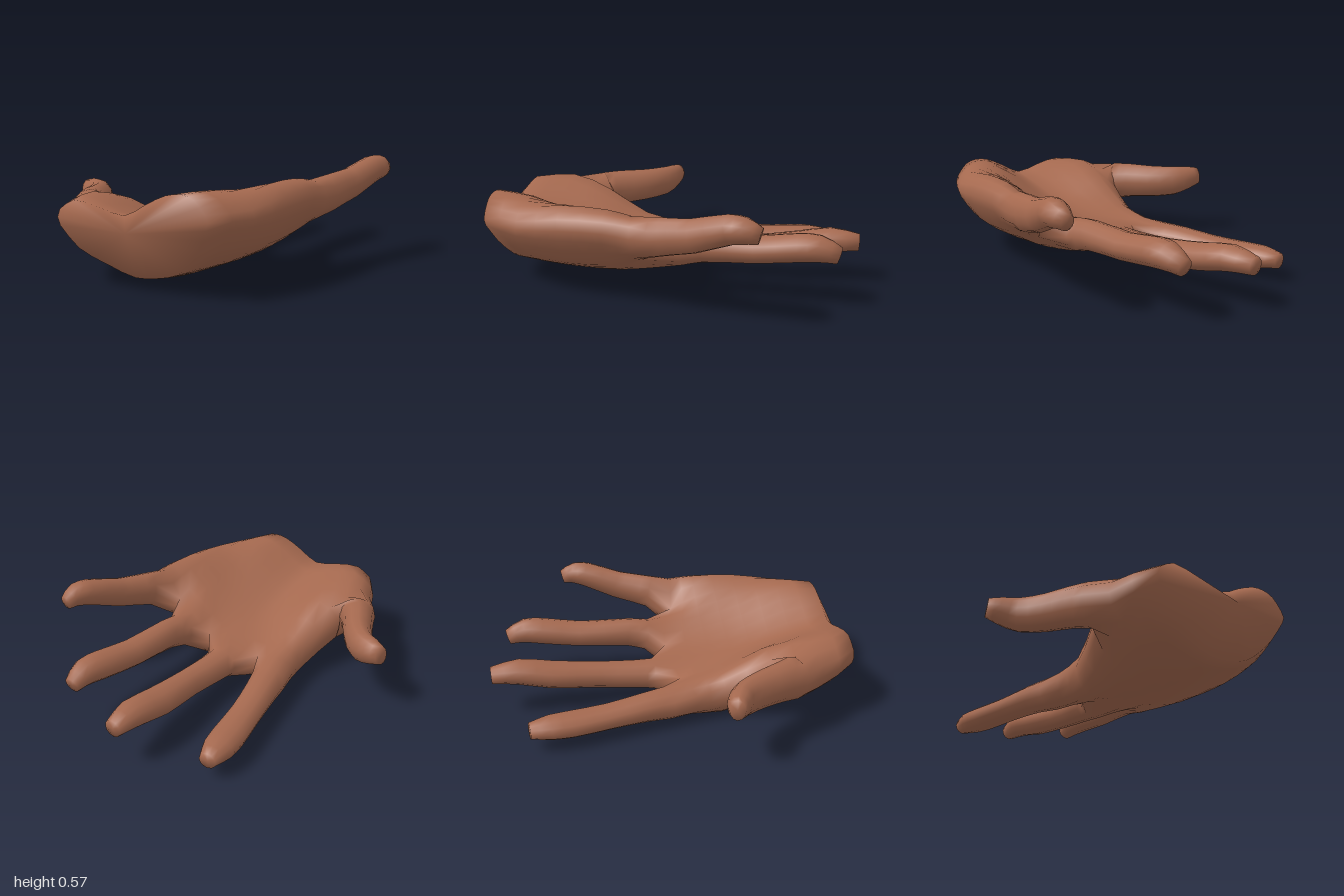
import * as THREE from 'three';
import { mergeVertices } from 'three/addons/utils/BufferGeometryUtils.js';

const V = (x, y, z) => new THREE.Vector3(x, y, z);

// Palm cross-sections from wrist to knuckles: nine columns [x, top, bottom] run
// edge, index, gap, middle, gap, ring, gap, little, edge
const sections = [
  { z: .94, under: .85, cols: [[-.335, .38, .3], [-.25, .43, .19], [-.1, .41, .12], [.05, .38, .07], [.17, .44, .08], [.28, .49, .11], [.36, .5, .17], [.43, .48, .25], [.485, .42, .35]] },
  { z: .72, under: .67, cols: [[-.45, .36, .24], [-.31, .44, .12], [-.13, .39, .06], [.05, .33, .03], [.2, .4, .06], [.33, .48, .11], [.43, .5, .16], [.53, .48, .24], [.595, .42, .34]] },
  { z: .48, under: .48, cols: [[-.37, .31, .18], [-.25, .38, .08], [-.09, .31, .035], [.06, .27, .03], [.2, .32, .055], [.34, .4, .1], [.45, .47, .15], [.56, .51, .22], [.645, .46, .35]] },
  { z: .24, under: .24, cols: [[-.3, .2, .08], [-.23, .25, .01], [-.1, .23, .02], [.06, .23, .035], [.2, .27, .06], [.34, .34, .1], [.46, .42, .16], [.58, .51, .24], [.67, .47, .36]] },
  { z: 0, under: 0, cols: [[-.31, .17, .07], [-.23, .21, .02], [-.12, .185, .06], [.05, .22, .05], [.2, .24, .11], [.335, .32, .13], [.49, .34, .22], [.6, .49, .27], [.68, .46, .34]] },
];
const knuckleZ = [.08, .04, .03, 0, 0, .02, .09, .1, .1];

// Ring of 36 points: left mid, 17 over the top, right mid, 17 back underneath
function palmRing({ z, under, cols }, isKnuckles) {
  const row = (h, zLow) => new THREE.CatmullRomCurve3(cols.map((c, i) =>
    V(c[0], c[h], isKnuckles ? knuckleZ[i] : z + (zLow - z) * Math.sin(Math.PI * i / 8))));
  const sample = curve => Array.from({ length: 17 }, (_, i) => curve.getPoint(i / 16));
  const top = sample(row(1, z)), bottom = sample(row(2, under)).reverse();
  const left = top[0].clone().lerp(bottom[16], .5), right = top[16].clone().lerp(bottom[0], .5);
  left.x -= .015;
  right.x += .015;
  return [left, ...top, right, ...bottom];
}

// Rings of a digit along stations [x, y, z, halfWidth, halfHeight], from upper left round
function digitRings(stations) {
  const path = new THREE.CatmullRomCurve3(stations.map(s => V(s[0], s[1], s[2])));
  const size = new THREE.CatmullRomCurve3(stations.map(s => V(s[3], s[4], 0)));
  const steps = (stations.length - 1) * 2;
  return Array.from({ length: steps + 1 }, (_, i) => {
    const c = path.getPoint(i / steps), r = size.getPoint(i / steps), t = path.getTangent(i / steps);
    const right = t.clone().cross(V(0, 1, 0)).normalize();
    const up = right.clone().cross(t);
    return Array.from({ length: 12 }, (_, k) => {
      const a = (5 - k) * Math.PI / 6;
      return c.clone().addScaledVector(right, r.x * Math.cos(a)).addScaledVector(up, r.y * Math.sin(a));
    });
  });
}

const thumb = [
  [-.455, .31, .56, .105, .115], [-.505, .32, .475, .088, .108], [-.568, .325, .355, .08, .1],
  [-.655, .335, .24, .07, .092], [-.74, .352, .19, .062, .072], [-.803, .36, .165, .04, .052],
];

const fingers = [
  // index
  [[-.255, .115, -.07, .1, .085], [-.29, .12, -.2, .09, .075], [-.335, .115, -.4, .085, .064],
    [-.375, .115, -.6, .09, .064], [-.395, .12, -.71, .082, .06], [-.41, .12, -.815, .045, .042]],
  // middle
  [[.045, .143, -.1, .097, .082], [.042, .15, -.2, .089, .077], [.04, .17, -.42, .082, .072],
    [.025, .205, -.68, .095, .072], [.02, .24, -.85, .084, .068], [.015, .235, -1, .047, .047]],
  // ring
  [[.348, .25, -.09, .093, .09], [.355, .27, -.2, .08, .083], [.367, .28, -.48, .085, .072],
    [.38, .31, -.7, .085, .074], [.39, .315, -.8, .075, .07], [.388, .285, -.9, .043, .045]],
  // little
  [[.64, .405, -.02, .083, .1], [.67, .425, -.12, .073, .092], [.7, .445, -.22, .07, .085],
    [.75, .505, -.4, .074, .074], [.77, .51, -.47, .066, .066], [.775, .49, -.545, .035, .042]],
];

export function createModel() {
  const triangles = [];
  // Bridge successive rings with quads, leaving out those that skip() names
  const bridge = (rings, skip = () => false) => {
    for (let i = 0; i < rings.length - 1; i++) {
      rings[i].forEach((a, j) => {
        if (skip(i, j)) return;
        const k = (j + 1) % rings[i].length, b = rings[i][k], c = rings[i + 1][j], d = rings[i + 1][k];
        triangles.push(a, b, c, b, d, c);
      });
    }
  };
  const fan = (ring, tip) => ring.forEach((p, j) => triangles.push(p, ring[(j + 1) % ring.length], tip));
  const addDigit = (root, stations) => {
    const rings = digitRings(stations), last = stations[stations.length - 1];
    bridge([root, ...rings]);
    fan(rings[rings.length - 1], V(last[0], last[1], last[2]));
  };

  // Palm, with an opening in its left edge for the thumb, and a blunt wrist
  const loops = sections.map((s, i) => palmRing(s, i === sections.length - 1));
  const columns = loops[0].map((_, k) => new THREE.CatmullRomCurve3(loops.map(l => l[k])));
  const palm = Array.from({ length: 9 }, (_, i) => columns.map(c => c.getPoint(i / 8)));
  bridge(palm, (i, j) => (i === 2 || i === 3) && (j >= 34 || j <= 1));
  fan([...palm[0]].reverse(), V(.1, .31, 1));

  // Thumb grows from the rim of that opening
  const rim = [[2, 1], [2, 2], [3, 2], [4, 2], [4, 1], [4, 0], [4, 35], [4, 34], [3, 34], [2, 34], [2, 35], [2, 0]];
  addDigit(rim.map(([i, j]) => palm[i][j]), thumb);

  // Each finger takes a quarter of the knuckle ring; neighbours share the gap between them
  const end = palm[8];
  const gap = col => col === 0 ? end[0] : col === 16 ? end[18] : end[1 + col].clone().lerp(end[35 - col], .5);
  fingers.forEach((stations, f) => {
    const c = 4 * f;
    addDigit([...end.slice(c + 1, c + 6), gap(c + 4), ...end.slice(31 - c, 36 - c), gap(c)], stations);
  });

  const geometry = mergeVertices(new THREE.BufferGeometry().setFromPoints(triangles));
  geometry.computeVertexNormals();
  const skin = new THREE.Mesh(geometry, new THREE.MeshStandardMaterial({ color: 0xa5694f }));
  skin.name = 'palmAndFingers';
  const hand = new THREE.Group();
  hand.name = 'hand';
  hand.add(skin);
  return hand;
}
